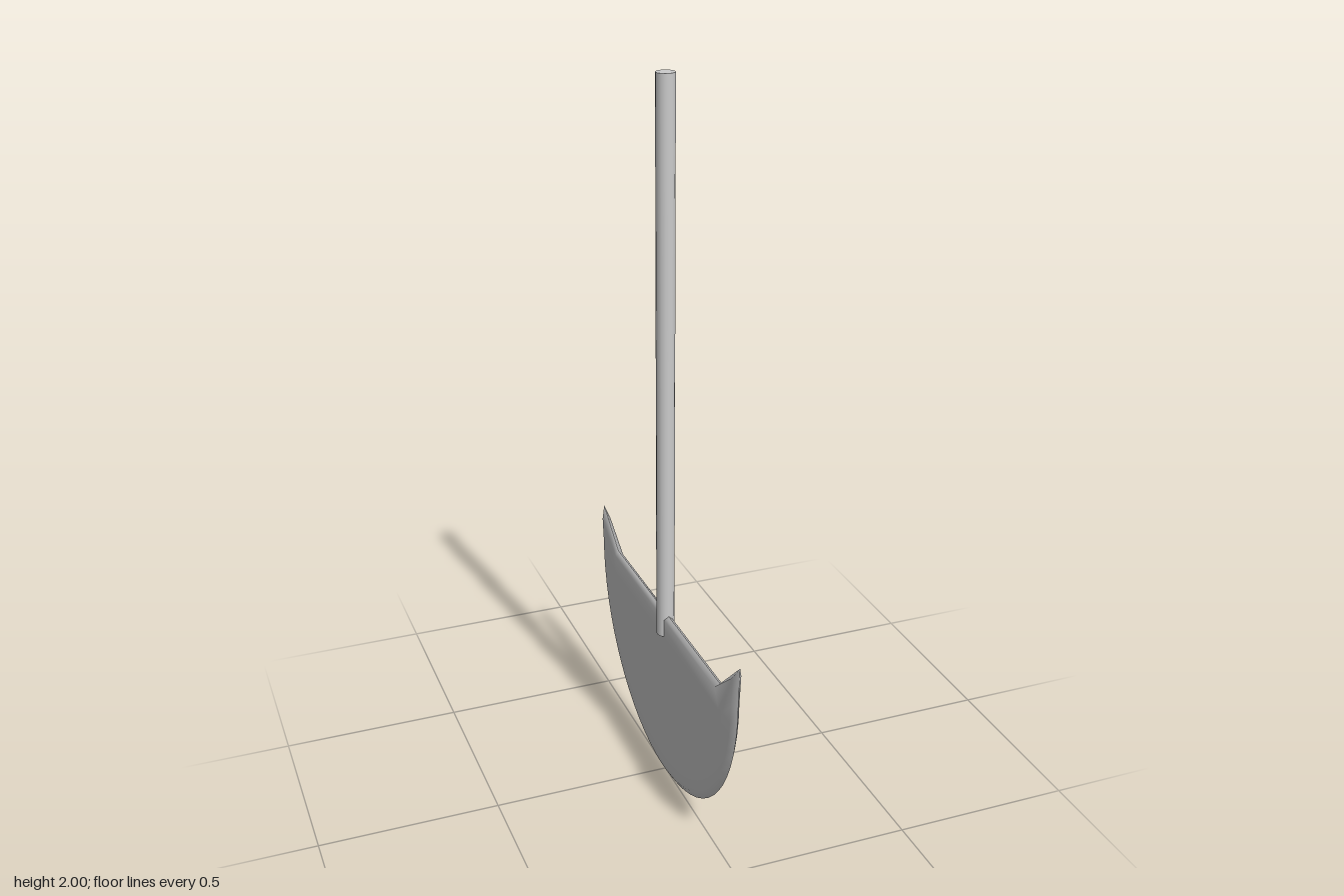
import * as THREE from 'three';

const material = new THREE.MeshStandardMaterial({ color: 0xcccccc });

// Closed loop of [z, y] points: front notch, front horn, curved edge, rear horn, rear notch
function loop(notch, frontTip, rearTip, radius, maxY = Infinity) {
  const pts = [notch, frontTip];
  const steps = 32, centreY = 0.51;
  for (let i = 0; i <= steps; i++) {
    const a = (Math.PI * i) / steps;
    pts.push([radius * Math.cos(a), Math.min(maxY, centreY - radius * Math.sin(a))]);
  }
  pts.push(rearTip, [-notch[0], notch[1]]);
  return pts;
}

// One cheek of the blade: sharp rim, bevel, then a flat core
function bladeSide(side) {
  const rings = [
    { x: 0, pts: loop([0.39, 0.518], [0.515, 0.635], [-0.515, 0.61], 0.508) },
    { x: 0.012, pts: loop([0.383, 0.507], [0.496, 0.6], [-0.496, 0.577], 0.488) },
    { x: 0.012, pts: loop([0.38, 0.455], [0.41, 0.455], [-0.41, 0.455], 0.43, 0.455) },
  ];
  const n = rings[0].pts.length;
  const pos = [], index = [];
  const tri = (a, b, c) => (side > 0 ? index.push(a, b, c) : index.push(a, c, b));
  for (const { x, pts } of rings) for (const [z, y] of pts) pos.push(side * x, y, z);
  pos.push(side * 0.012, 0.3, 0);
  const centre = rings.length * n;
  for (let i = 0; i < n; i++) {
    const j = (i + 1) % n;
    for (let r = 0; r < 2; r++) {
      const o = r * n, p = o + n;
      tri(o + i, o + j, p + j);
      tri(o + i, p + j, p + i);
    }
    tri(2 * n + i, 2 * n + j, centre);
  }
  const geo = new THREE.BufferGeometry();
  geo.setAttribute('position', new THREE.Float32BufferAttribute(pos, 3));
  geo.setIndex(index);
  geo.computeVertexNormals();
  return geo;
}

export function createModel() {
  const model = new THREE.Group();
  model.name = 'halfMoonEdger';

  // Half-moon blade with upturned horns
  const blade = new THREE.Group();
  blade.name = 'blade';
  for (const side of [1, -1]) {
    const cheek = new THREE.Mesh(bladeSide(side), material);
    cheek.name = side > 0 ? 'leftBladeFace' : 'rightBladeFace';
    blade.add(cheek);
  }
  model.add(blade);

  // Long round handle overlapping the top of the blade
  const bottom = 0.455, top = 2;
  const handle = new THREE.Mesh(new THREE.CylinderGeometry(0.025, 0.025, top - bottom, 16), material);
  handle.position.y = (top + bottom) / 2;
  handle.name = 'handle';
  model.add(handle);

  return model;
}
